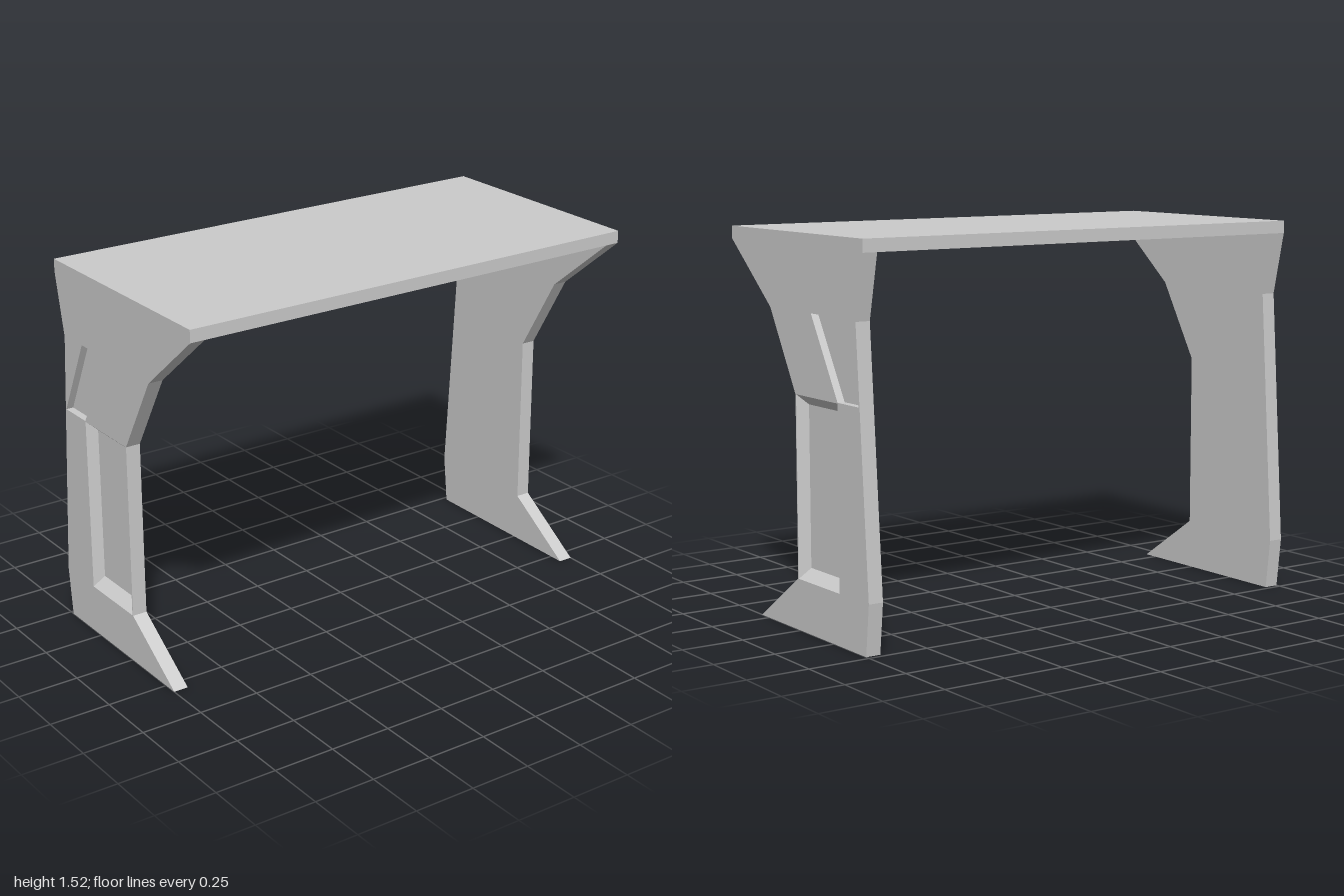
import * as THREE from 'three';

const mat = new THREE.MeshStandardMaterial({ color: 0xcccccc, flatShading: true });
const bevelMat = new THREE.MeshStandardMaterial({ color: 0xcccccc, flatShading: true, side: THREE.DoubleSide });

const OUTER = 1, LEG = 0.06, RECESS = 0.045, SLOT = 0.03;

// Leg side profile, recess and slot corners (x, y), counter-clockwise
const outline = [[-0.48, 0], [0.31, 0], [0.015, 0.2], [0.015, 0.91], [0.2, 1.225],
  [0.5, 1.47], [-0.485, 1.47], [-0.43, 1.22], [-0.452, 0.91], [-0.502, 0.2]];
const recessRim = [[-0.295, 0.2], [0.01, 0.2], [0.01, 0.91], [-0.295, 0.91]];
const recessFloor = [[-0.28, 0.24], [-0.008, 0.24], [-0.008, 0.87], [-0.28, 0.87]];
const slot = [[-0.447, 0.913], [-0.297, 0.913], [-0.11, 1.225], [-0.295, 1.225]];

const toPoints = (list) => list.map(([x, y]) => new THREE.Vector2(x, y));

// Flat plate spanning z = near..far on the given side (+1 front, -1 back)
function plate(name, corners, holes, near, far, side) {
  const shape = new THREE.Shape(toPoints(corners));
  for (const h of holes) shape.holes.push(new THREE.Path(toPoints(h)));
  const geo = new THREE.ExtrudeGeometry(shape, { depth: far - near, bevelEnabled: false });
  geo.translate(0, 0, side > 0 ? near : -far);
  const mesh = new THREE.Mesh(geo, mat);
  mesh.name = name;
  return mesh;
}

// Sloping walls joining the recess rim to its smaller floor
function recessBevel(side) {
  const pos = [];
  for (let i = 0; i < 4; i++) {
    const j = (i + 1) % 4;
    const a = [...recessRim[i], side * OUTER], b = [...recessRim[j], side * OUTER];
    const c = [...recessFloor[j], side * (OUTER - RECESS)], d = [...recessFloor[i], side * (OUTER - RECESS)];
    const tris = side > 0 ? [a, b, c, a, c, d] : [a, c, b, a, d, c];
    for (const p of tris) pos.push(...p);
  }
  const geo = new THREE.BufferGeometry();
  geo.setAttribute('position', new THREE.Float32BufferAttribute(pos, 3));
  geo.computeVertexNormals();
  const mesh = new THREE.Mesh(geo, bevelMat);
  mesh.name = 'recessBevel';
  return mesh;
}

function createLeg(side) {
  const leg = new THREE.Group();
  leg.name = side > 0 ? 'frontLeg' : 'backLeg';
  const floor = OUTER - RECESS;
  leg.add(
    plate('legInnerPlate', outline, [], OUTER - LEG, floor, side),
    plate('legOuterPlate', outline, [recessRim, slot], floor, OUTER, side),
    plate('slotFloor', slot, [], floor, OUTER - SLOT, side),
    recessBevel(side),
  );
  return leg;
}

export function createModel() {
  const desk = new THREE.Group();
  desk.name = 'desk';

  // Table top
  const top = new THREE.Mesh(new THREE.BoxGeometry(0.985, 0.05, 2), mat);
  top.position.set(0.0075, 1.495, 0);
  top.name = 'tableTop';
  desk.add(top);

  // Side panels standing at both ends
  for (const side of [1, -1]) desk.add(createLeg(side));
  return desk;
}
